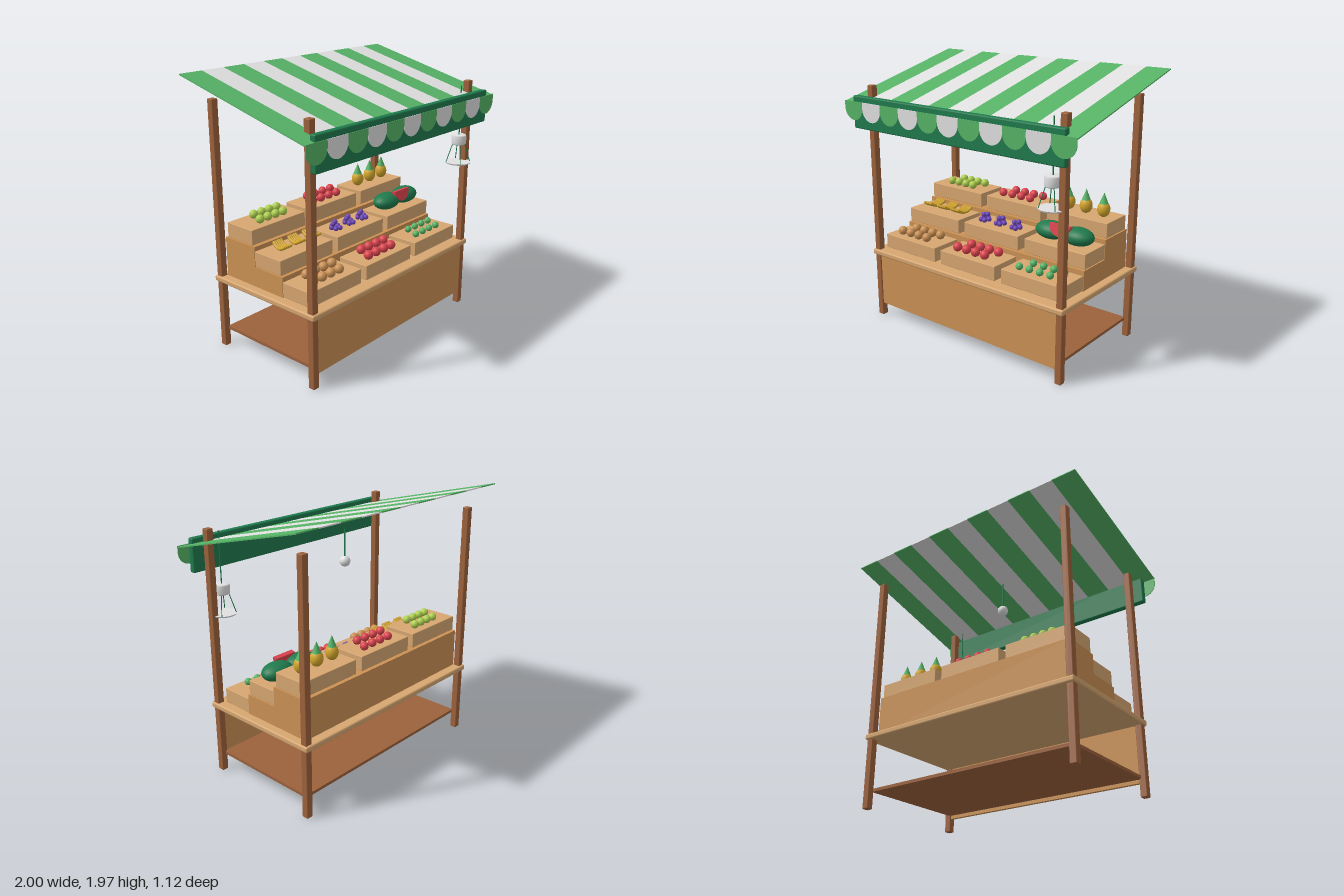
import * as THREE from 'three';
import { RoundedBoxGeometry } from 'three/addons/geometries/RoundedBoxGeometry.js';

export function createModel() {
  const root = new THREE.Group();
  root.name = 'marketStall';

  const mat = (name, color, side = THREE.FrontSide) => {
    const m = new THREE.MeshStandardMaterial({ color, side });
    m.name = name;
    return m;
  };
  const green = mat('stripeGreen', 0x56b366, THREE.DoubleSide);
  const white = mat('paleGrey', 0xe0e0e0, THREE.DoubleSide);
  const darkGreen = mat('darkGreen', 0x1f7a4d);
  const brown = mat('postBrown', 0x9c623c);
  const wood = mat('warmWood', 0xcb9154);
  const paleWood = mat('paleWood', 0xd6a670);
  const red = mat('fruitRed', 0xdc434e);
  const purple = mat('grapePurple', 0x6c45b8);
  const yellow = mat('fruitYellow', 0xd2a52c);
  const lime = mat('appleLime', 0xaed04f);

  const add = (name, geo, material, x, y, z, parent = root) => {
    const m = new THREE.Mesh(geo, material);
    m.name = name;
    m.position.set(x, y, z);
    parent.add(m);
    return m;
  };
  // Box given by its limits on each axis
  const span = (name, x0, x1, y0, y1, z0, z1, material, radius = 0) => {
    const s = [x1 - x0, y1 - y0, z1 - z0];
    const geo = radius ? new RoundedBoxGeometry(...s, 2, radius) : new THREE.BoxGeometry(...s);
    return add(name, geo, material, (x0 + x1) / 2, (y0 + y1) / 2, (z0 + z1) / 2);
  };
  // Thin rod between two points
  const rod = (name, a, b, r, material) => {
    const path = new THREE.LineCurve3(new THREE.Vector3(...a), new THREE.Vector3(...b));
    return add(name, new THREE.TubeGeometry(path, 1, r, 8), material, 0, 0, 0);
  };

  // Frame
  for (const x of [-0.84, 0.84])
    for (const z of [-0.44, 0.437])
      span('post', x - 0.025, x + 0.025, 0, 1.8, z - 0.025, z + 0.025, brown, 0.006);
  span('lowerShelf', -0.83, 0.83, 0.125, 0.147, -0.42, 0.425, brown);
  span('frontPanel', -0.815, 0.815, 0.1, 0.505, 0.425, 0.452, wood);
  span('counterTop', -0.877, 0.877, 0.503, 0.545, -0.48, 0.478, paleWood, 0.012);
  span('middleStep', -0.815, 0.815, 0.545, 0.69, -0.12, 0.142, wood);
  span('backStep', -0.815, 0.815, 0.545, 0.833, -0.41, -0.12, wood);

  // Crates, three on each level
  const columns = [-0.56, 0, 0.56];
  const levels = [[0.549, 0.265], [0.694, 0.002], [0.838, -0.265]];
  for (const [y, z] of levels)
    for (const x of columns)
      span('crate', x - 0.252, x + 0.252, y, y + 0.107, z - 0.124, z + 0.124, paleWood, 0.004);
  const tops = levels.map(([y]) => y + 0.107);

  // Two staggered rows of round fruit
  const fruitRows = (name, material, x, level, r, step) => {
    const geo = new THREE.SphereGeometry(r, 16, 12);
    for (let row = 0; row < 2; row++)
      for (let i = 0; i < 4; i++)
        add(name, geo, material, x + (i - 1.75 + row * 0.5) * step, tops[level] + r * 0.9,
          levels[level][1] + (row ? -0.052 : 0.052));
  };
  fruitRows('orange', wood, -0.56, 0, 0.034, 0.083);
  fruitRows('tomato', red, 0, 0, 0.034, 0.084);
  fruitRows('smallLime', green, 0.56, 0, 0.026, 0.085);
  fruitRows('greenApple', lime, -0.545, 2, 0.031, 0.072);
  fruitRows('redApple', red, 0, 2, 0.031, 0.084);

  // Banana bunches: curved tubes lying side by side
  const bananaPath = new THREE.QuadraticBezierCurve3(
    new THREE.Vector3(0.012, 0.03, -0.06), new THREE.Vector3(0, -0.018, 0), new THREE.Vector3(-0.012, 0.03, 0.06));
  const bananaGeo = new THREE.TubeGeometry(bananaPath, 8, 0.011, 8);
  const tipGeo = new THREE.SphereGeometry(0.011, 8, 6);
  for (const x of [-0.67, -0.53, -0.39])
    for (let i = -2; i <= 2; i++) {
      const banana = add('banana', bananaGeo, yellow, x + i * 0.017, tops[1] + 0.015, 0);
      for (const t of [0, 1]) add('bananaTip', tipGeo, yellow, ...bananaPath.getPoint(t).toArray(), banana);
    }

  // Grape clusters
  const grapeGeo = new THREE.SphereGeometry(0.019, 12, 8);
  for (const x of [-0.145, 0, 0.145])
    for (const [dx, dy, dz] of [[-0.022, 0.015, 0.03], [0.015, 0.015, 0.035], [0.03, 0.018, 0], [-0.02, 0.045, 0],
      [0.01, 0.05, -0.01], [0, 0.015, -0.03], [-0.025, 0.015, -0.01]])
      add('grape', grapeGeo, purple, x + dx, tops[1] + dy, dz);

  // Watermelons with a cut half slice between them
  for (const x of [0.45, 0.67])
    add('watermelon', new THREE.SphereGeometry(1, 28, 18), darkGreen, x, tops[1] + 0.062, 0)
      .scale.set(0.122, 0.063, 0.088);
  const half = new THREE.Shape();
  half.absarc(0, 0, 0.085, Math.PI, Math.PI * 2);
  half.closePath();
  const sliceGeo = new THREE.ExtrudeGeometry(half, { depth: 0.035, bevelEnabled: false, curveSegments: 16 });
  add('watermelonSlice', sliceGeo, red, 0.56, 0.932, 0.03).rotation.x = -0.2;

  // Pineapples
  const z3 = levels[2][1];
  for (const x of [0.415, 0.56, 0.705]) {
    add('pineapple', new THREE.SphereGeometry(1, 20, 14), yellow, x, 0.998, z3).scale.set(0.046, 0.057, 0.046);
    add('pineappleCrown', new THREE.ConeGeometry(0.034, 0.085, 10), green, x, 1.077, z3);
  }

  // Striped awning: sloping strips, each ending in a scalloped flap
  const strips = 11, w = 2 / strips;
  const slope = new THREE.Group();
  slope.name = 'awning';
  slope.position.set(0, 1.822, -0.002);
  slope.rotation.x = Math.atan2(0.28, 1.11);
  root.add(slope);
  const stripGeo = new THREE.BoxGeometry(w, 0.008, Math.hypot(0.28, 1.11));
  const flap = new THREE.Shape();
  flap.moveTo(-w / 2, 0.045);
  flap.lineTo(-w / 2, 0);
  flap.absarc(0, 0, w / 2, Math.PI, Math.PI * 2);
  flap.lineTo(w / 2, 0.045);
  flap.closePath();
  const flapGeo = new THREE.ExtrudeGeometry(flap, { depth: 0.005, bevelEnabled: false, curveSegments: 16 });
  for (let i = 0; i < strips; i++) {
    const x = (i + 0.5) * w - 1;
    const m = i % 2 ? white : green;
    add('awningStripe', stripGeo, m, x, 0, 0, slope);
    add('scallop', flapGeo, m, x, 1.645, 0.555);
  }
  span('frontBoard', -0.917, 0.917, 1.495, 1.732, 0.508, 0.555, darkGreen, 0.01);

  // Hanging lamp
  rod('lampCord', [0, 1.5, 0], [0, 1.72, 0], 0.006, darkGreen);
  add('lampGlobe', new THREE.SphereGeometry(0.039, 24, 16), white, 0, 1.486, 0);

  // Hanging scale
  const sx = 0.755, sz = 0.437;
  rod('scaleRod', [sx, 1.4, sz], [sx, 1.77, sz], 0.004, darkGreen);
  const profile = [[0, -0.037], [0.047, -0.037], [0.055, -0.028], [0.055, 0.028], [0.047, 0.037], [0, 0.037]]
    .map(p => new THREE.Vector2(...p));
  add('scaleBody', new THREE.LatheGeometry(profile, 24), white, sx, 1.368, sz);
  for (let i = 0; i < 4; i++) {
    const a = i * Math.PI / 2 + Math.PI / 4, c = Math.cos(a), s = Math.sin(a);
    rod('scaleCord', [sx + c * 0.045, 1.335, sz + s * 0.045], [sx + c * 0.09, 1.195, sz + s * 0.09], 0.003, darkGreen);
  }
  add('scalePan', new THREE.CylinderGeometry(0.095, 0.09, 0.01, 28), white, sx, 1.192, sz);

  return root;
}
